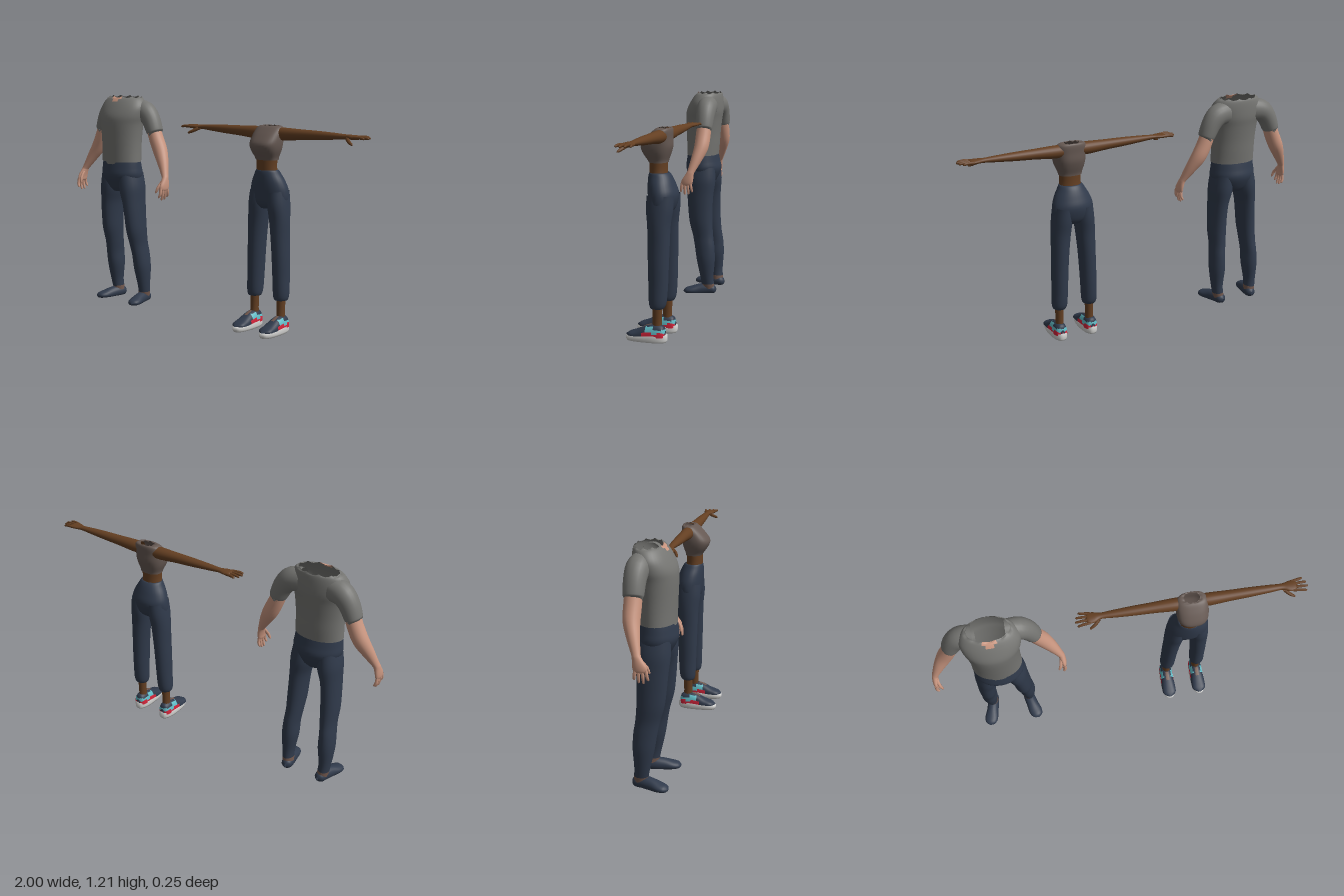
import * as THREE from 'three';

const mat = (name, color) => {
  const m = new THREE.MeshStandardMaterial({ color, side: THREE.DoubleSide });
  m.name = name;
  return m;
};

export function createModel() {
  const M = {
    shirt: mat('grey shirt', 0x757572), pants: mat('navy cloth', 0x303a4b),
    fair: mat('fair skin', 0xc8957f), dark: mat('dark skin', 0x643f22),
    top: mat('brown grey top', 0x655852), ankle: mat('ankle brown', 0x6f564c),
    white: mat('sole white', 0xd2d2d0), red: mat('shoe red', 0xd3243a), cyan: mat('shoe cyan', 0x62bcc6),
  };

  // Catmull-Rom resampling of rows of numbers
  const resample = (rows, n) => {
    const out = [], at = i => rows[Math.min(Math.max(i, 0), rows.length - 1)];
    for (let i = 0; i < rows.length - 1; i++) for (let k = 0; k < n; k++) {
      const t = k / n;
      out.push(rows[i].map((b, c) => {
        const a = at(i - 1)[c], d = at(i + 1)[c], e = at(i + 2)[c];
        return b + 0.5 * t * (d - a + t * (2 * a - 5 * b + 4 * d - e + t * (3 * (b - d) + e - a)));
      }));
    }
    return [...out, rows[rows.length - 1]];
  };

  // Skin through elliptical rings; each row is [x, y, z, radius across path, radius in z]
  const loft = (parent, name, mats, rows, o = {}) => {
    const { seg = 24, steps = 4, e = 1, warp, paint, along } = o;
    const R = resample(rows, steps), pos = [], list = [].concat(mats), buckets = list.map(() => []);
    R.forEach(([x, y, z, a, b], i) => {
      const p = R[Math.max(i - 1, 0)], q = R[Math.min(i + 1, R.length - 1)];
      const dx = q[0] - p[0], dy = q[1] - p[1], l = Math.hypot(dx, dy) || 1;
      for (let j = 0; j < seg; j++) {
        const w = j / seg * Math.PI * 2, c = Math.cos(w), s = Math.sin(w);
        const u = Math.max(a, 0.0005) * Math.sign(c) * Math.abs(c) ** e;
        const v = Math.max(b, 0.0005) * Math.sign(s) * Math.abs(s) ** e;
        let P = new THREE.Vector3(x + u * dy / l, y - u * dx / l, z + v);
        if (along) P = new THREE.Vector3(P.x, -P.z, P.y); // lay the path along z
        if (warp) warp(P, w);
        pos.push(P.x, P.y, P.z);
      }
    });
    const mid = (k, ...ids) => ids.reduce((t, i) => t + pos[i * 3 + k], 0) / ids.length;
    for (let i = 0; i < R.length - 1; i++) for (let j = 0; j < seg; j++) {
      const a = i * seg + j, b = i * seg + (j + 1) % seg, c = a + seg, d = b + seg;
      const k = paint ? paint(mid(0, a, b, c, d), mid(1, a, b, c, d), mid(2, a, b, c, d)) : 0;
      buckets[k].push(a, c, b, b, c, d);
    }
    const g = new THREE.BufferGeometry();
    g.setAttribute('position', new THREE.Float32BufferAttribute(pos, 3));
    g.setIndex(buckets.flat());
    let start = 0;
    if (list.length > 1) buckets.forEach((f, k) => { g.addGroup(start, f.length, k); start += f.length; });
    g.computeVertexNormals();
    const mesh = new THREE.Mesh(g, list.length > 1 ? list : list[0]);
    mesh.name = name;
    parent.add(mesh);
  };
  const side = (s, rows) => rows.map(([x, ...r]) => [x * s, ...r]);
  const floor = y0 => p => { p.y = Math.max(p.y, y0); };

  const model = new THREE.Group();
  const figure = (name, x) => {
    const g = new THREE.Group();
    g.name = name;
    g.position.x = x;
    model.add(g);
    return g;
  };

  // ---------- broad figure with lowered arms ----------
  const man = figure('broadFigure', -0.64);
  loft(man, 'shirt', [M.shirt, M.fair], [
    [0, 0.835, 0.028, 0.131, 0.092], [0, 0.9, 0.026, 0.13, 0.096], [0, 0.97, 0.025, 0.132, 0.1],
    [0, 1.05, 0.022, 0.14, 0.106], [0, 1.1, 0.016, 0.152, 0.107], [0, 1.15, 0.005, 0.155, 0.095],
    [0, 1.19, -0.006, 0.135, 0.08], [0, 1.212, -0.014, 0.108, 0.066]], {
    seg: 40,
    warp: (p, w) => {
      if (p.y < 0.84 && p.z > 0.08 && Math.abs(p.x) < 0.03) p.y -= 0.02; // hem notch
      if (p.y > 1.208) p.y -= 0.01 * Math.abs(Math.sin(w * 5)); // ragged neckline
    },
    paint: (x, y, z) => (y > 1.185 && z > 0.02 && Math.abs(x) < 0.03 ? 1 : 0),
  });
  loft(man, 'trouserSeat', M.pants, [
    [0, 0.66, 0.02, 0.05, 0.055], [0, 0.69, 0.02, 0.1, 0.078], [0, 0.75, 0.023, 0.132, 0.104],
    [0, 0.8, 0.026, 0.13, 0.098], [0, 0.85, 0.027, 0.124, 0.088]], { seg: 32 });
  for (const s of [-1, 1]) {
    loft(man, 'trouserLeg', [M.pants, M.ankle], side(s, [
      [0.107, 0.03, -0.04, 0.03, 0.036], [0.113, 0.1, -0.03, 0.033, 0.04], [0.111, 0.2, -0.022, 0.044, 0.055],
      [0.109, 0.28, -0.014, 0.042, 0.06], [0.103, 0.35, -0.002, 0.043, 0.062], [0.1, 0.43, 0.012, 0.048, 0.07],
      [0.096, 0.52, 0.018, 0.049, 0.075], [0.09, 0.6, 0.02, 0.052, 0.08], [0.078, 0.68, 0.02, 0.062, 0.088],
      [0.068, 0.76, 0.022, 0.058, 0.085]]), { paint: (x, y) => (y < 0.06 ? 1 : 0) });
    loft(man, 'foot', M.pants, side(s, [
      [0.1, -0.085, -0.02, 0.004, 0.008], [0.102, -0.07, -0.022, 0.027, 0.026], [0.108, -0.03, -0.022, 0.032, 0.036],
      [0.12, 0.02, -0.018, 0.034, 0.034], [0.133, 0.065, -0.014, 0.038, 0.024], [0.143, 0.095, -0.012, 0.028, 0.016],
      [0.147, 0.108, -0.01, 0.002, 0.002]]), { along: true, warp: floor(0), steps: 3 });
    loft(man, 'sleeve', M.shirt, side(s, [
      [0.08, 1.13, -0.025, 0.065, 0.055], [0.14, 1.122, -0.03, 0.062, 0.058], [0.182, 1.08, -0.033, 0.054, 0.054],
      [0.212, 1.015, -0.033, 0.046, 0.05], [0.213, 1.01, -0.033, 0.04, 0.044]]));
    loft(man, 'arm', M.fair, side(s, [
      [0.195, 1.05, -0.033, 0.038, 0.042], [0.226, 0.97, -0.033, 0.041, 0.043], [0.26, 0.9, -0.03, 0.041, 0.041],
      [0.295, 0.84, -0.014, 0.032, 0.033], [0.33, 0.775, 0.008, 0.019, 0.023], [0.338, 0.755, 0.016, 0.017, 0.024],
      [0.344, 0.72, 0.028, 0.015, 0.034], [0.345, 0.695, 0.032, 0.012, 0.03], [0.345, 0.688, 0.033, 0.001, 0.001]]));
    for (let f = 0; f < 4; f++) {
      const z = 0.01 + f * 0.016, low = [0.65, 0.637, 0.635, 0.65][f];
      loft(man, 'finger', M.fair, side(s, [
        [0.345, 0.705, z, 0.009, 0.009], [0.347, 0.675, z + (f - 1.5) * 0.004, 0.008, 0.008],
        [0.338, low + 0.006, z + (f - 1.5) * 0.006, 0.006, 0.006], [0.336, low, z + (f - 1.5) * 0.006, 0.001, 0.001]]),
      { seg: 8, steps: 2 });
    }
    loft(man, 'thumb', M.fair, side(s, [
      [0.335, 0.745, 0.03, 0.011, 0.011], [0.325, 0.71, 0.058, 0.009, 0.009],
      [0.315, 0.682, 0.066, 0.006, 0.006], [0.314, 0.676, 0.067, 0.001, 0.001]]), { seg: 8, steps: 2 });
  }

  // ---------- slim figure with arms spread ----------
  const woman = figure('slimFigure', 0.395);
  loft(woman, 'croppedTop', M.top, [
    [0, 0.915, -0.025, 0.061, 0.047], [0, 0.93, -0.022, 0.064, 0.053], [0, 0.965, -0.016, 0.077, 0.071],
    [0, 1, -0.016, 0.083, 0.079], [0, 1.04, -0.03, 0.083, 0.064], [0, 1.07, -0.045, 0.08, 0.049],
    [0, 1.086, -0.053, 0.068, 0.038], [0, 1.092, -0.056, 0.04, 0.028]], {
    seg: 32, e: 0.8, warp: (p, w) => { if (p.y > 1.091) p.y -= 0.006 * Math.abs(Math.sin(w * 4)); },
  });
  loft(woman, 'waist', M.dark, [
    [0, 0.83, -0.026, 0.062, 0.047], [0, 0.88, -0.023, 0.057, 0.046], [0, 0.94, -0.024, 0.06, 0.046]]);
  loft(woman, 'trouserSeat', M.pants, [
    [0, 0.66, -0.046, 0.06, 0.045], [0, 0.69, -0.046, 0.108, 0.066], [0, 0.75, -0.049, 0.112, 0.076],
    [0, 0.8, -0.041, 0.097, 0.07], [0, 0.84, -0.033, 0.075, 0.061], [0, 0.86, -0.028, 0.064, 0.052],
    [0, 0.863, -0.027, 0.057, 0.046]], { seg: 32 });
  for (const s of [-1, 1]) {
    loft(woman, 'trouserLeg', M.pants, side(s, [
      [0.087, 0.176, -0.042, 0.026, 0.03], [0.087, 0.18, -0.042, 0.036, 0.037], [0.087, 0.21, -0.044, 0.042, 0.046],
      [0.084, 0.3, -0.046, 0.043, 0.051], [0.081, 0.4, -0.046, 0.045, 0.054], [0.076, 0.5, -0.046, 0.047, 0.057],
      [0.07, 0.6, -0.046, 0.052, 0.06], [0.062, 0.68, -0.047, 0.054, 0.07], [0.055, 0.75, -0.049, 0.052, 0.07]]));
    loft(woman, 'ankle', M.dark, side(s, [
      [0.088, 0.05, -0.04, 0.024, 0.028], [0.088, 0.11, -0.041, 0.021, 0.024], [0.088, 0.2, -0.042, 0.025, 0.027]]));
    // shoe: upper painted by zones, pale sole
    loft(woman, 'shoeUpper', [M.pants, M.red, M.cyan, M.ankle], side(s, [
      [0.09, -0.088, -0.03, 0.005, 0.02], [0.09, -0.078, -0.03, 0.028, 0.052], [0.09, -0.055, -0.03, 0.036, 0.063],
      [0.09, -0.02, -0.03, 0.038, 0.064], [0.09, 0.015, -0.03, 0.039, 0.055], [0.09, 0.06, -0.03, 0.04, 0.033],
      [0.09, 0.1, -0.03, 0.036, 0.018], [0.09, 0.123, -0.03, 0.006, 0.004]]), {
      along: true, warp: floor(0.03), e: 0.85, seg: 32, steps: 5,
      paint: (x, y, z) => {
        if (Math.abs(x - s * 0.09) < 0.012 && z > -0.01 && z < 0.03 && y > 0.06) return 3;
        if (z > 0.03 || z < -0.085) return 0;
        if (y < 0.052) return 1;
        return y < 0.082 && z < 0.015 && (z > -0.03 || y < 0.07) ? 2 : 0;
      },
    });
    loft(woman, 'shoeSole', M.white, side(s, [
      [0.09, 0, 0.016, 0.001, 0.001], [0.09, 0.0005, 0.016, 0.036, 0.104], [0.09, 0.012, 0.016, 0.041, 0.111],
      [0.09, 0.033, 0.016, 0.041, 0.111], [0.09, 0.034, 0.016, 0.036, 0.1]]), {
      steps: 1, e: 0.8, seg: 32, warp: p => { if (p.y > 0.02) p.y -= 0.07 * (p.z - 0.016); },
    });
    // arm, palm, fingers and thumb
    loft(woman, 'arm', M.dark, side(s, [
      [0.05, 1.05, -0.05, 0.032, 0.034], [0.1, 1.05, -0.05, 0.033, 0.034], [0.2, 1.053, -0.05, 0.027, 0.029],
      [0.3, 1.055, -0.05, 0.023, 0.026], [0.4, 1.057, -0.05, 0.017, 0.021], [0.47, 1.058, -0.05, 0.012, 0.017],
      [0.505, 1.058, -0.047, 0.012, 0.028], [0.54, 1.058, -0.047, 0.01, 0.03], [0.548, 1.058, -0.047, 0.001, 0.001]]));
    for (let f = 0; f < 4; f++) {
      const z = -0.071 + f * 0.0165, d = (f - 1.5) * 0.004, tip = [0.585, 0.6, 0.605, 0.595][f];
      loft(woman, 'finger', M.dark, side(s, [
        [0.525, 1.058, z, 0.008, 0.008], [0.565, 1.06, z + d, 0.0075, 0.0075],
        [tip - 0.006, 1.057, z + d * 1.6, 0.006, 0.006], [tip, 1.056, z + d * 1.6, 0.001, 0.001]]), { seg: 8, steps: 2 });
    }
    loft(woman, 'thumb', M.dark, side(s, [
      [0.48, 1.053, -0.035, 0.01, 0.011], [0.505, 1.038, -0.014, 0.009, 0.01],
      [0.53, 1.026, -0.002, 0.006, 0.006], [0.535, 1.024, 0, 0.001, 0.001]]), { seg: 8, steps: 2 });
  }
  return model;
}
